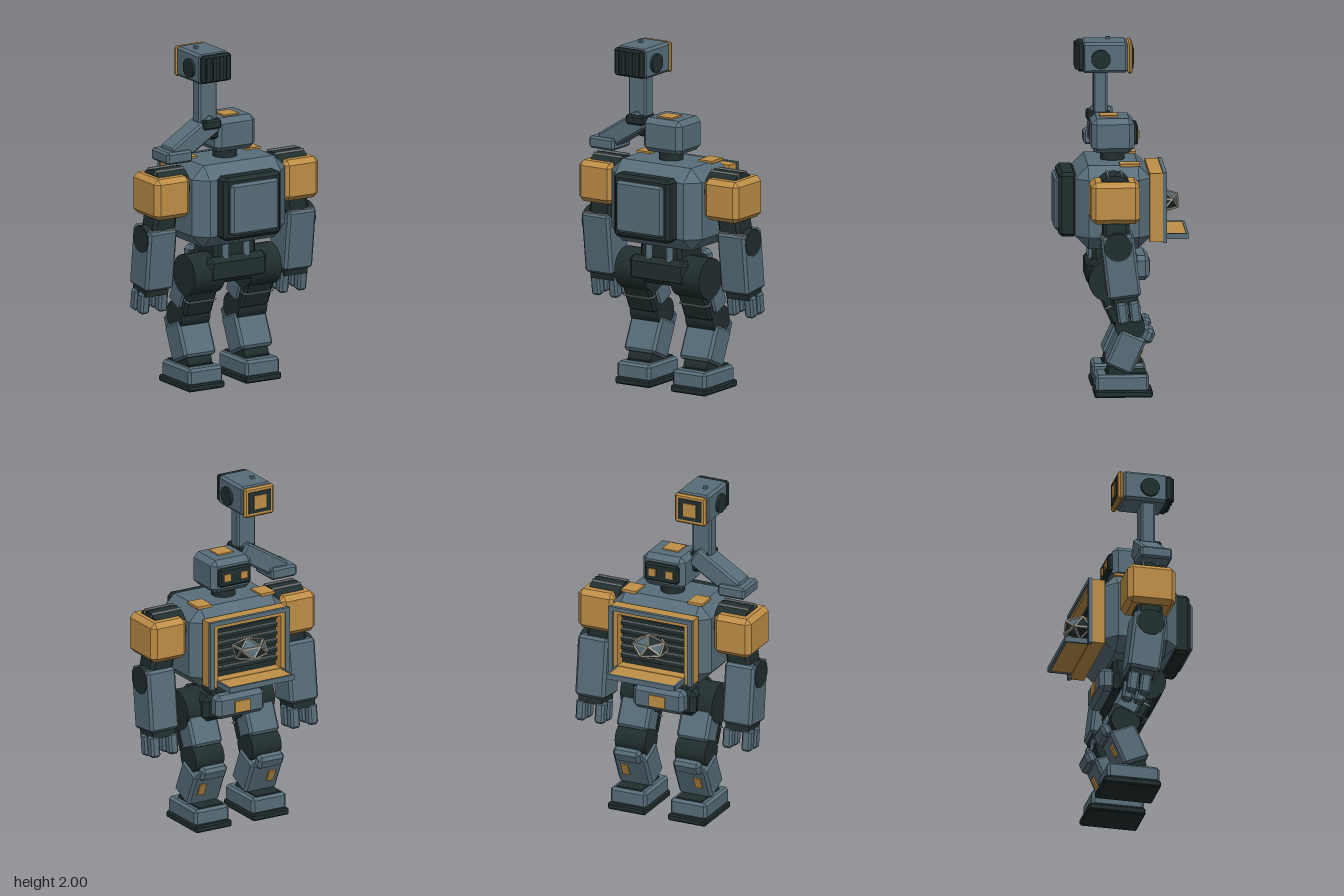
import * as THREE from 'three';
import { ConvexGeometry } from 'three/addons/geometries/ConvexGeometry.js';

const paint = (name, color) => {
  const m = new THREE.MeshStandardMaterial({ color });
  m.name = name;
  return m;
};
const slate = paint('slate', 0x586e7a);
const orange = paint('ochre', 0xbf8f47);
const dark = paint('darkGreen', 0x212e2e);
const grey = paint('grey', 0x868a8a);
const beige = paint('beige', 0xa39f90);

// box with every edge chamfered by c
function chamferBox(w, h, d, c) {
  const pts = [], X = w / 2, Y = h / 2, Z = d / 2;
  for (const i of [-1, 1]) for (const j of [-1, 1]) for (const k of [-1, 1]) {
    pts.push(
      new THREE.Vector3(i * X, j * (Y - c), k * (Z - c)),
      new THREE.Vector3(i * (X - c), j * Y, k * (Z - c)),
      new THREE.Vector3(i * (X - c), j * (Y - c), k * Z));
  }
  return new ConvexGeometry(pts);
}

function add(parent, name, geo, mat, x, y, z) {
  const m = new THREE.Mesh(geo, mat);
  m.name = name;
  m.position.set(x, y, z);
  parent.add(m);
  return m;
}

// box given by its extents on each axis
function span(parent, name, mat, [x0, x1], [y0, y1], [z0, z1], c = 0) {
  const w = x1 - x0, h = y1 - y0, d = z1 - z0;
  const geo = c ? chamferBox(w, h, d, c) : new THREE.BoxGeometry(w, h, d);
  return add(parent, name, geo, mat, (x0 + x1) / 2, (y0 + y1) / 2, (z0 + z1) / 2);
}

// cylinder lying along x
function drum(parent, name, mat, r, len, x, y, z, sides = 20) {
  const geo = new THREE.CylinderGeometry(r, r, len, sides).rotateZ(Math.PI / 2);
  return add(parent, name, geo, mat, x, y, z);
}

function group(parent, name, x = 0, y = 0, z = 0) {
  const g = new THREE.Group();
  g.name = name;
  g.position.set(x, y, z);
  parent.add(g);
  return g;
}

function buildTorso(root) {
  const t = group(root, 'torso');
  span(t, 'body', slate, [-0.31, 0.31], [0.85, 1.33], [-0.17, 0.265], 0.075);
  // rear pack
  span(t, 'backPack', dark, [-0.19, 0.19], [0.91, 1.28], [0.25, 0.355], 0.02);
  span(t, 'backPanel', slate, [-0.16, 0.16], [0.945, 1.245], [0.34, 0.378], 0.015);
  for (const s of [-1, 1]) {
    span(t, 'shoulderPlate', orange, [s * 0.21 - 0.047, s * 0.21 + 0.047], [1.325, 1.34], [-0.105, 0.01]);
  }
  // open chest compartment
  const c = group(t, 'compartment');
  span(c, 'interior', dark, [-0.22, 0.22], [0.93, 1.25], [-0.185, -0.16]);
  for (let i = 0; i < 6; i++) {
    const y = 0.965 + i * 0.05;
    span(c, 'slat', dark, [-0.21, 0.21], [y, y + 0.022], [-0.2, -0.18]);
    span(c, 'slatEdge', grey, [-0.21, 0.21], [y + 0.022, y + 0.026], [-0.2, -0.18]);
  }
  for (const s of [-1, 1]) {
    span(c, 'sideFrame', orange, [s * 0.235 - 0.025, s * 0.235 + 0.025], [0.89, 1.285], [-0.247, -0.16]);
    span(c, 'sideRim', slate, [s * 0.25 - 0.015, s * 0.25 + 0.015], [0.885, 1.29], [-0.257, -0.235]);
  }
  for (const y of [0.91, 1.265]) {
    span(c, 'crossFrame', orange, [-0.21, 0.21], [y - 0.02, y + 0.02], [-0.247, -0.16]);
  }
  span(c, 'topRim', slate, [-0.235, 0.235], [1.265, 1.29], [-0.257, -0.235]);
  span(c, 'openDoor', orange, [-0.205, 0.205], [0.903, 0.927], [-0.375, -0.24]);
  span(c, 'doorEdge', slate, [-0.215, 0.215], [0.898, 0.93], [-0.384, -0.37]);
  for (const s of [-1, 1]) {
    span(c, 'doorSide', slate, [s * 0.21 - 0.006, s * 0.21 + 0.006], [0.898, 0.93], [-0.37, -0.24]);
  }
  buildCore(c);
}

// faceted core with struts on its edges
function buildCore(parent) {
  const g = group(parent, 'core', 0, 1.085, -0.25);
  const geo = new THREE.IcosahedronGeometry(1, 0).rotateZ(0.4).scale(0.11, 0.07, 0.095);
  const flat = geo.toNonIndexed ? (geo.index ? geo.toNonIndexed() : geo) : geo;
  flat.computeVertexNormals();
  for (let f = 0; f < 20; f++) flat.addGroup(f * 3, 3, f % 3 === 0 ? 1 : 0);
  add(g, 'coreFacets', flat, [dark, slate], 0, 0, 0);
  const e = new THREE.EdgesGeometry(flat).attributes.position;
  for (let i = 0; i < e.count; i += 2) {
    const a = new THREE.Vector3().fromBufferAttribute(e, i);
    const b = new THREE.Vector3().fromBufferAttribute(e, i + 1);
    const m = add(g, 'coreStrut', new THREE.BoxGeometry(0.01, 0.01, a.distanceTo(b)), beige, 0, 0, 0);
    m.position.copy(a).lerp(b, 0.5);
    m.quaternion.setFromUnitVectors(new THREE.Vector3(0, 0, 1), b.sub(a).normalize());
  }
}

function buildHead(root) {
  const h = group(root, 'head');
  add(h, 'neck', new THREE.CylinderGeometry(0.07, 0.07, 0.09, 16), dark, 0, 1.355, 0.04);
  span(h, 'skull', slate, [-0.125, 0.14], [1.38, 1.578], [-0.08, 0.163], 0.03);
  span(h, 'crownPlate', orange, [-0.05, 0.052], [1.572, 1.586], [0.01, 0.112]);
  span(h, 'facePlate', dark, [-0.1, 0.11], [1.425, 1.535], [-0.103, -0.07], 0.01);
  for (const x of [-0.05, 0.06]) {
    span(h, 'eye', orange, [x - 0.022, x + 0.022], [1.458, 1.502], [-0.11, -0.1]);
  }
}

function buildPeriscope(root) {
  const p = group(root, 'periscope');
  // folding arm
  span(p, 'mount', slate, [-0.47, -0.3], [1.36, 1.43], [0, 0.185], 0.012);
  const arm = add(p, 'arm', chamferBox(0.32, 0.115, 0.135, 0.012), slate, -0.265, 1.478, 0.095);
  arm.rotation.z = 0.56;
  span(p, 'collar', dark, [-0.222, -0.105], [1.53, 1.585], [0.045, 0.18], 0.01);
  span(p, 'elbow', dark, [-0.165, -0.1], [1.46, 1.56], [0.04, 0.15], 0.015);
  span(p, 'mast', slate, [-0.23, -0.11], [1.56, 1.83], [0.06, 0.14], 0.01);
  // viewing box
  span(p, 'housing', slate, [-0.268, -0.068], [1.81, 1.985], [-0.055, 0.205], 0.015);
  span(p, 'rearGrille', dark, [-0.265, -0.07], [1.82, 1.98], [0.19, 0.235], 0.012);
  for (let i = 0; i < 4; i++) {
    const x = -0.235 + i * 0.045;
    span(p, 'grilleRib', dark, [x - 0.012, x + 0.012], [1.83, 1.97], [0.23, 0.245]);
  }
  for (const x of [-0.274, -0.062]) drum(p, 'sideDisc', dark, 0.055, 0.02, x, 1.89, 0.1);
  span(p, 'lensFrame', orange, [-0.265, -0.07], [1.805, 1.982], [-0.082, -0.052], 0.01);
  span(p, 'lensHood', dark, [-0.242, -0.093], [1.83, 1.958], [-0.086, -0.07]);
  span(p, 'lens', orange, [-0.207, -0.128], [1.855, 1.935], [-0.092, -0.083]);
  span(p, 'topStud', slate, [-0.21, -0.19], [1.98, 2], [0.04, 0.065]);
}

function buildArm(root, s) {
  const a = group(root, s > 0 ? 'leftArm' : 'rightArm', s * 0.43);
  span(a, 'shoulder', orange, [-0.117, 0.117], [1.04, 1.28], [-0.09, 0.19], 0.028);
  drum(a, 'shoulderDrum', dark, 0.115, 0.19, -s * 0.03, 1.2, 0.05, 12);
  for (const z of [0.01, 0.09]) {
    span(a, 'drumRib', grey, [-s * 0.03 - 0.095, -s * 0.03 + 0.095], [1.29, 1.315], [z - 0.005, z + 0.005]);
  }
  const upper = add(a, 'upperArm', chamferBox(0.15, 0.2, 0.15, 0.02), dark, s * 0.01, 1.0, 0.045);
  upper.rotation.z = s * 0.15;
  drum(a, 'elbow', dark, 0.08, 0.19, s * 0.037, 0.91, 0.037);
  // forearm leans forward with the hand below it
  const f = group(a, 'forearm', s * 0.035, 0.79, 0.02);
  f.rotation.x = 0.12;
  span(f, 'forearmShell', slate, [-0.094, 0.094], [-0.175, 0.185], [-0.095, 0.095], 0.015);
  for (const i of [-1, 1]) {
    span(f, 'cuffEdge', grey, [i * 0.05 - 0.035, i * 0.05 + 0.035], [0.182, 0.19], [0.07, 0.085]);
  }
  span(f, 'wrist', dark, [-0.075, 0.075], [-0.215, -0.165], [-0.075, 0.065]);
  for (const x of [-0.06, 0.06]) for (const z of [-0.05, 0.022]) {
    span(f, 'finger', slate, [x - 0.029, x + 0.029], [-0.325, -0.2], [z - 0.031, z + 0.031], 0.012);
  }
}

function buildPelvis(root) {
  const p = group(root, 'pelvis');
  span(p, 'waist', dark, [-0.14, 0.14], [0.74, 0.88], [-0.08, 0.16], 0.02);
  for (const x of [-0.07, 0.07]) {
    add(p, 'waistPiston', new THREE.CylinderGeometry(0.022, 0.022, 0.12, 10), slate, x, 0.82, 0.16);
  }
  span(p, 'hipBlock', dark, [-0.2, 0.2], [0.62, 0.775], [-0.09, 0.195], 0.03);
  span(p, 'beltBox', slate, [-0.16, 0.16], [0.65, 0.79], [-0.165, -0.07], 0.025);
  span(p, 'beltPlate', orange, [-0.05, 0.05], [0.68, 0.75], [-0.173, -0.163]);
}

function buildLeg(root, s) {
  const l = group(root, s > 0 ? 'leftLeg' : 'rightLeg', s * 0.19);
  drum(l, 'hip', dark, 0.12, 0.2, 0, 0.67, 0.07);
  // thigh leans forward
  const t = group(l, 'thigh', 0, 0.58, 0.02);
  t.rotation.x = 0.42;
  span(t, 'thighShell', slate, [-0.098, 0.098], [-0.13, 0.15], [-0.09, 0.05], 0.015);
  span(t, 'thighBack', dark, [-0.096, 0.096], [-0.14, 0.13], [0.04, 0.1], 0.015);
  span(t, 'thighEdge', grey, [-0.097, 0.097], [-0.035, -0.028], [0.06, 0.103]);
  drum(l, 'knee', dark, 0.085, 0.19, 0, 0.41, -0.045);
  // shin leans back to the ankle
  const c = group(l, 'shin', 0, 0.25, -0.02);
  c.rotation.x = -0.42;
  span(c, 'shinShell', slate, [-0.106, 0.106], [-0.1, 0.12], [-0.08, 0.082], 0.015);
  span(c, 'shinEdge', grey, [-0.09, 0.09], [0.118, 0.126], [0.05, 0.075]);
  span(c, 'kneePad', slate, [-0.085, 0.085], [0.1, 0.185], [-0.112, -0.05], 0.018);
  span(c, 'shinPlate', orange, [s * 0.04 - 0.022, s * 0.04 + 0.022], [-0.02, 0.055], [-0.088, -0.078]);
  drum(l, 'ankle', dark, 0.06, 0.16, 0, 0.14, 0.02);
  span(l, 'foot', slate, [-0.114, 0.114], [0.03, 0.13], [-0.155, 0.15], 0.015);
  span(l, 'sole', dark, [-0.12, 0.12], [0, 0.04], [-0.175, 0.157], 0.008);
  span(l, 'instep', dark, [-0.08, 0.08], [0.125, 0.138], [-0.14, 0.09]);
}

export function createModel() {
  const root = new THREE.Group();
  root.name = 'robot';
  buildTorso(root);
  buildHead(root);
  buildPeriscope(root);
  buildPelvis(root);
  for (const s of [-1, 1]) {
    buildArm(root, s);
    buildLeg(root, s);
  }
  return root;
}
